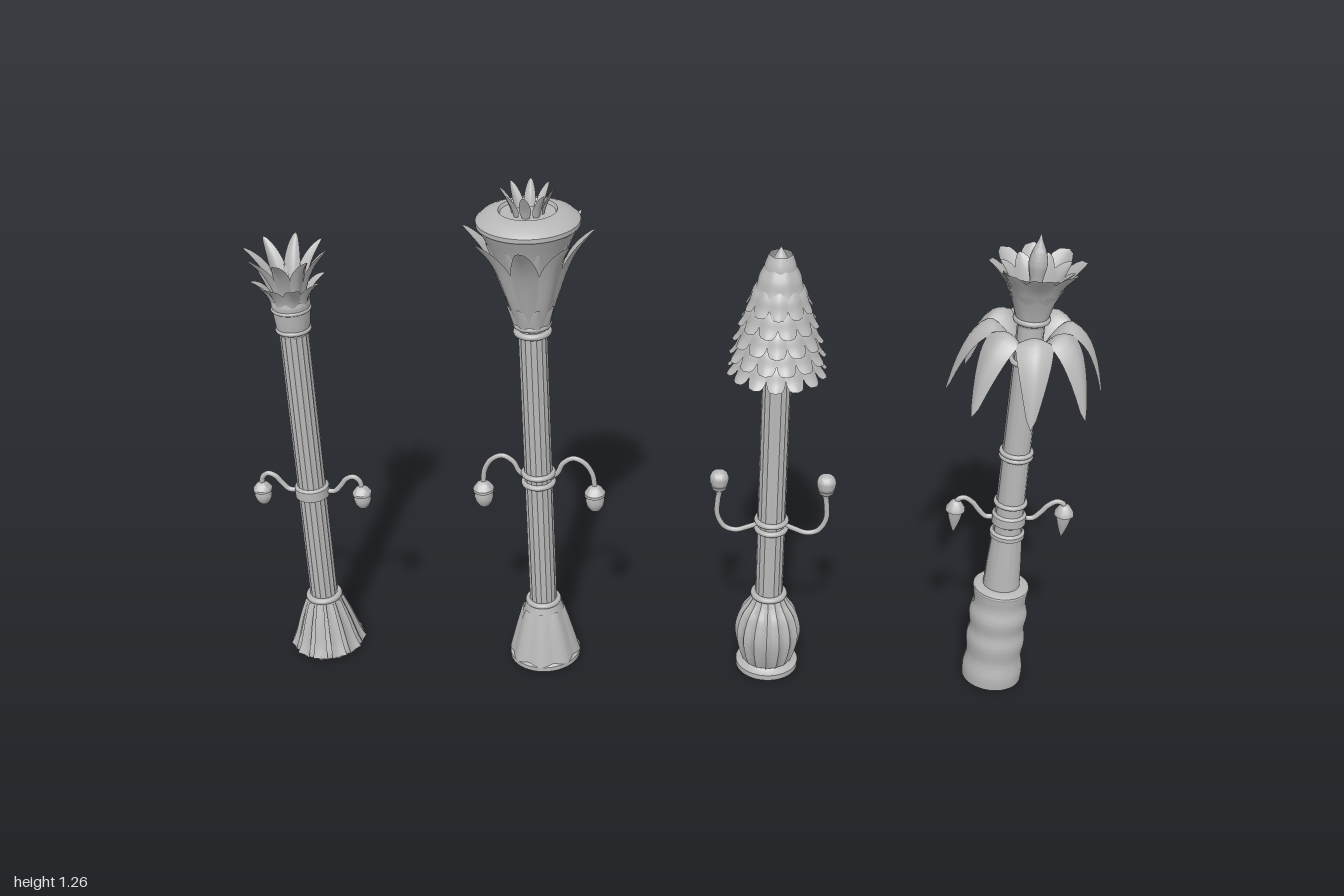
import * as THREE from 'three';
import { toCreasedNormals } from 'three/addons/utils/BufferGeometryUtils.js';

const stone = new THREE.MeshStandardMaterial({ color: 0xb8b8b8, side: THREE.DoubleSide });
stone.name = 'grey stone';

function add(parent, name, geo) {
  const m = new THREE.Mesh(geo, stone);
  m.name = name;
  parent.add(m);
  return m;
}

// Turned part from [radius, height] pairs; optional flutes cut into the radius
function turned(parent, name, pts, { flutes = 0, depth = 0, segs = 40 } = {}) {
  const geo = new THREE.LatheGeometry(pts.map(p => new THREE.Vector2(p[0], p[1])), flutes ? flutes * 6 : segs);
  if (flutes) {
    const p = geo.attributes.position;
    for (let i = 0; i < p.count; i++) {
      const a = Math.atan2(p.getX(i), p.getZ(i));
      const k = 1 - depth * Math.abs(Math.sin(a * flutes / 2));
      p.setX(i, p.getX(i) * k);
      p.setZ(i, p.getZ(i) * k);
    }
  }
  return add(parent, name, toCreasedNormals(geo, 0.6));
}

// Rounded profile through a few [radius, height] points
function smooth(pts, n = 28) {
  return new THREE.SplineCurve(pts.map(p => new THREE.Vector2(...p))).getPoints(n).map(v => [Math.max(0, v.x), v.y]);
}

function ring(parent, name, r, y, tube) {
  const m = add(parent, name, new THREE.TorusGeometry(r, tube, 10, 40));
  m.rotation.x = Math.PI / 2;
  m.position.y = y;
}

// Leaf swept along a [radius, height] path; cup bends the edges off the path
function leafGeometry(path, half, cup, shape) {
  const curve = new THREE.SplineCurve(path.map(p => new THREE.Vector2(...p)));
  const N = 14, M = 6, pos = [], idx = [];
  for (let i = 0; i <= N; i++) {
    const t = i / N, c = curve.getPoint(t), d = curve.getTangent(t), w = half * shape(t);
    for (let j = 0; j <= M; j++) {
      const u = j / M * 2 - 1, b = cup * w * Math.pow(Math.abs(u), 1.5);
      pos.push(u * w, c.y + d.x * b, c.x - d.y * b);
      if (i < N && j < M) {
        const a = i * (M + 1) + j, e = a + M + 1;
        idx.push(a, a + 1, e, a + 1, e + 1, e);
      }
    }
  }
  const geo = new THREE.BufferGeometry();
  geo.setAttribute('position', new THREE.Float32BufferAttribute(pos, 3));
  geo.setIndex(idx);
  geo.computeVertexNormals();
  return geo;
}

// Outlines: pointed blade, broad paddle, and one wide at its far end
const blade = t => Math.pow(Math.sin(Math.PI * (0.12 + 0.88 * t)), 0.8);
const paddle = t => (0.45 + 0.55 * Math.sin(Math.PI * Math.min(t, 0.95) * 0.7)) * Math.sqrt(Math.max(0, 1 - t ** 5));
const scale = t => (0.7 + 0.4 * t) * Math.sqrt(Math.max(0, 1 - t ** 3));

function leaves(parent, name, count, path, half, cup, shape, turn = 0) {
  const g = new THREE.Group(), geo = leafGeometry(path, half, cup, shape);
  g.name = name;
  for (let i = 0; i < count; i++) add(g, name + 'Blade', geo).rotation.y = (i + turn) / count * Math.PI * 2;
  parent.add(g);
}

// Mirrored pair of bracket arms, each carrying a lamp at [x, y]
function arms(parent, path, lampProfile, x, y) {
  for (const side of [1, -1]) {
    const g = new THREE.Group();
    g.name = side > 0 ? 'leftArm' : 'rightArm';
    const curve = new THREE.CatmullRomCurve3(path.map(p => new THREE.Vector3(p[0] * side, p[1], 0)));
    add(g, 'bracket', new THREE.TubeGeometry(curve, 32, 0.0065, 8));
    turned(g, 'lamp', lampProfile, { segs: 20 }).position.set(x * side, y, 0);
    parent.add(g);
  }
}

function column(parent, name, x) {
  const g = new THREE.Group();
  g.name = name;
  g.position.x = x;
  parent.add(g);
  return g;
}

const hangingLamp = [[0, -0.055], [0.011, -0.052], [0.018, -0.042], [0.021, -0.03], [0.019, -0.018],
  [0.023, -0.017], [0.023, -0.011], [0.015, 0], [0.007, 0.006], [0, 0.008]];

function reedColumn(root) {
  const g = column(root, 'reedColumn', -0.858);
  turned(g, 'base', [[0, 0], [0.086, 0], [0.086, 0.012], [0.074, 0.03], [0.057, 0.09], [0.042, 0.14]], { flutes: 12, depth: 0.05 });
  leaves(g, 'baseLeaf', 12, [[0.043, 0.138], [0.06, 0.09], [0.076, 0.035], [0.088, 0.006]], 0.02, 0.25, t => 0.45 + 0.5 * t);
  ring(g, 'baseRing', 0.037, 0.145, 0.008);
  turned(g, 'shaft', [[0.034, 0.13], [0.034, 0.89]], { flutes: 16, depth: 0.09 });
  turned(g, 'armBand', [[0.033, 0.435], [0.041, 0.44], [0.041, 0.465], [0.033, 0.47]]);
  arms(g, [[0.03, 0.452], [0.056, 0.452], [0.072, 0.468], [0.088, 0.488], [0.106, 0.494], [0.12, 0.482], [0.123, 0.46]],
    hangingLamp, 0.123, 0.463);
  turned(g, 'capital', smooth([[0.034, 0.88], [0.039, 0.9], [0.043, 0.94], [0.044, 0.965], [0.03, 0.99], [0, 1.0]]));
  ring(g, 'capitalRing', 0.036, 0.892, 0.006);
  ring(g, 'capitalRim', 0.042, 0.945, 0.005);
  leaves(g, 'outerLeaf', 8, [[0.04, 0.93], [0.047, 0.97], [0.064, 1.0], [0.085, 1.02]], 0.021, 0.5, blade, 0.5);
  leaves(g, 'reedLeaf', 8, [[0.032, 0.94], [0.043, 1.0], [0.066, 1.05], [0.098, 1.09]], 0.02, 0.6, blade);
}

function lotusColumn(root) {
  const g = column(root, 'lotusColumn', -0.3);
  turned(g, 'base', [[0, 0], [0.088, 0], [0.088, 0.012], [0.08, 0.018], [0.07, 0.06], [0.055, 0.115], [0.042, 0.16]]);
  leaves(g, 'baseLeaf', 8, [[0.089, 0.012], [0.079, 0.05], [0.064, 0.105], [0.051, 0.148]], 0.031, 0.4,
    t => Math.sqrt(Math.max(0, 1 - t ** 2.2)));
  ring(g, 'baseRing', 0.037, 0.163, 0.007);
  turned(g, 'shaft', [[0.034, 0.15], [0.034, 0.91]], { flutes: 16, depth: 0.07 });
  for (const y of [0.505, 0.53]) ring(g, 'armBand', 0.035, y, 0.007);
  arms(g, [[0.03, 0.517], [0.046, 0.53], [0.06, 0.557], [0.085, 0.572], [0.112, 0.56], [0.13, 0.53], [0.135, 0.495]],
    hangingLamp.map(p => [p[0] * 1.1, p[1] * 1.15]), 0.135, 0.492);
  for (const y of [0.908, 0.928, 0.948]) ring(g, 'neckRing', 0.037, y, 0.008);
  turned(g, 'bell', smooth([[0.037, 0.94], [0.047, 0.98], [0.066, 1.05], [0.09, 1.12], [0.112, 1.17]]));
  turned(g, 'lid', [[0.11, 1.168], [0.117, 1.174], [0.117, 1.184], [0.106, 1.194], [0.085, 1.203], [0.066, 1.207],
    [0.062, 1.2], [0.03, 1.197], [0, 1.197]]);
  leaves(g, 'bellLeaf', 8, [[0.042, 0.935], [0.06, 0.99], [0.088, 1.07], [0.115, 1.12], [0.151, 1.165]], 0.032, 0.45, blade);
  leaves(g, 'innerLeaf', 8, [[0.042, 0.935], [0.057, 0.99], [0.077, 1.07], [0.1, 1.14]], 0.034, 0.4, blade, 0.5);
  leaves(g, 'neckLeaf', 8, [[0.042, 0.92], [0.05, 0.95], [0.06, 0.985]], 0.018, 0.4, blade, 0.5);
  leaves(g, 'crownPetal', 8, [[0.036, 1.195], [0.044, 1.22], [0.062, 1.256]], 0.013, 0.5, blade);
}

function coneColumn(root) {
  const g = column(root, 'coneColumn', 0.26);
  turned(g, 'plinth', [[0, 0], [0.077, 0], [0.077, 0.014], [0.066, 0.018], [0.06, 0.024]]);
  turned(g, 'base', smooth([[0.06, 0.018], [0.073, 0.055], [0.081, 0.105], [0.07, 0.155], [0.048, 0.19], [0.037, 0.212]]),
    { flutes: 16, depth: 0.09 });
  ring(g, 'baseRing', 0.037, 0.212, 0.008);
  turned(g, 'shaft', [[0.034, 0.2], [0.034, 0.86]], { flutes: 16, depth: 0.06 });
  for (const y of [0.403, 0.425]) ring(g, 'armBand', 0.035, y, 0.007);
  arms(g, [[0.03, 0.413], [0.055, 0.402], [0.085, 0.392], [0.112, 0.4], [0.13, 0.432], [0.13, 0.47], [0.125, 0.505]],
    [[0, -0.036], [0.007, -0.035], [0.009, -0.026], [0.017, -0.02], [0.02, -0.011], [0.016, -0.011],
      ...smooth([[0.018, -0.011], [0.0235, 0.006], [0.017, 0.023], [0, 0.03]], 10)], 0.127, 0.527);
  // Overlapping scales in staggered rows around a solid core
  turned(g, 'coneCore', smooth([[0.034, 0.85], [0.08, 0.86], [0.073, 0.94], [0.05, 1.02], [0.02, 1.08], [0, 1.1]]));
  const rows = [[0.83, 0.117, 14], [0.868, 0.112, 13], [0.908, 0.104, 12], [0.95, 0.093, 11], [0.99, 0.079, 10],
    [1.026, 0.062, 8], [1.056, 0.045, 6]];
  rows.forEach(([y, r, n], i) =>
    leaves(g, 'coneScale', n, [[r * 0.58, y + 0.065], [r * 0.78, y + 0.042], [r * 0.88, y + 0.018], [r, y]],
      r * 3.1 / n, -0.3, scale, i % 2 / 2));
  turned(g, 'coneTip', smooth([[0.012, 1.06], [0.02, 1.085], [0.016, 1.11], [0.006, 1.128], [0, 1.14]]), { segs: 16 });
  leaves(g, 'tipScale', 5, [[0.012, 1.115], [0.022, 1.1], [0.031, 1.078]], 0.015, -0.3, scale);
}

function palmColumn(root) {
  const g = column(root, 'palmColumn', 0.82);
  turned(g, 'base', [[0, 0], ...smooth([[0.072, 0], [0.073, 0.03], [0.067, 0.07], [0.071, 0.115], [0.066, 0.15],
    [0.07, 0.19], [0.063, 0.225], [0.066, 0.26]], 50), [0.066, 0.268], [0.055, 0.274], [0.04, 0.274]]);
  ring(g, 'baseRing', 0.06, 0.264, 0.007);
  turned(g, 'lowerShaft', [[0.044, 0.27], [0.041, 0.33], [0.036, 0.41], [0.041, 0.413], [0.041, 0.423], [0.034, 0.428]]);
  turned(g, 'shaft', [[0.034, 0.42], [0.033, 0.64], [0.031, 0.98]], { flutes: 12, depth: 0.04 });
  for (const y of [0.505, 0.632, 0.643, 0.88]) ring(g, 'shaftRing', 0.034, y, 0.006);
  turned(g, 'armBand', [[0.033, 0.445], [0.04, 0.45], [0.04, 0.472], [0.033, 0.477]]);
  arms(g, [[0.03, 0.462], [0.055, 0.462], [0.072, 0.478], [0.088, 0.498], [0.108, 0.51], [0.122, 0.505], [0.127, 0.488]],
    [[0, -0.075], [0.008, -0.055], [0.015, -0.032], [0.018, -0.014], [0.023, -0.012], [0.022, -0.004], [0.012, 0.012], [0, 0.018]],
    0.127, 0.487);
  leaves(g, 'palmLeaf', 8, [[0.03, 0.91], [0.055, 0.955], [0.09, 0.978], [0.13, 0.945], [0.158, 0.88], [0.177, 0.795]],
    0.042, -0.4, blade);
  turned(g, 'crownCup', smooth([[0.031, 0.97], [0.037, 0.99], [0.048, 1.03], [0.062, 1.06]]));
  ring(g, 'crownRing', 0.034, 0.985, 0.008);
  leaves(g, 'crownPetal', 8, [[0.036, 0.985], [0.05, 1.03], [0.07, 1.075], [0.108, 1.122]], 0.037, 0.35, paddle);
  leaves(g, 'innerPetal', 8, [[0.034, 0.985], [0.046, 1.03], [0.062, 1.08], [0.085, 1.11]], 0.03, 0.35, blade, 0.5);
  turned(g, 'spike', smooth([[0.012, 0.98], [0.014, 1.07], [0.021, 1.115], [0.016, 1.145], [0.006, 1.17], [0, 1.192]]), { segs: 20 });
}

export function createModel() {
  const root = new THREE.Group();
  root.name = 'lampColumns';
  reedColumn(root);
  lotusColumn(root);
  coneColumn(root);
  palmColumn(root);
  return root;
}
